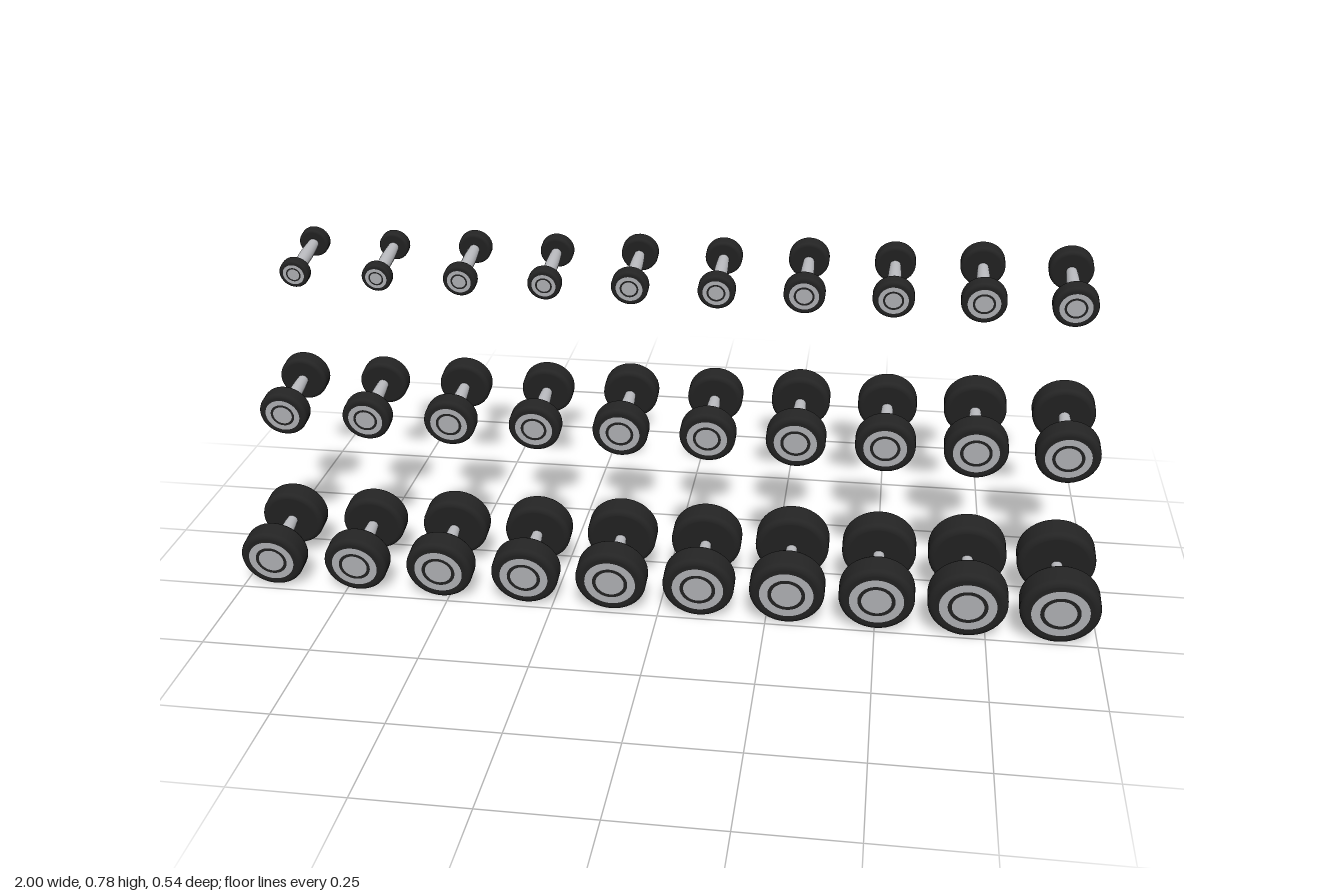
import * as THREE from 'three';

const steel = new THREE.MeshStandardMaterial({ color: 0xb8b9bd });
steel.name = 'brushed steel';
const rubber = new THREE.MeshStandardMaterial({ color: 0x242424 });
rubber.name = 'black rubber';

const TILT = THREE.MathUtils.degToRad(10);

function addMesh(parent, name, geometry, material) {
  const mesh = new THREE.Mesh(geometry, material);
  mesh.name = name;
  parent.add(mesh);
  return mesh;
}

// Rounded disc lying along z
function headGeometry(r, w) {
  const c = r * 0.15, h = w / 2;
  const points = [new THREE.Vector2(0, -h), new THREE.Vector2(r - c - 0.001, -h)];
  for (const [cy, start] of [[-h + c, -Math.PI / 2], [h - c, 0]]) {
    for (let i = 0; i <= 4; i++) {
      const a = start + (i / 4) * (Math.PI / 2);
      points.push(new THREE.Vector2(r - c + c * Math.cos(a), cy + c * Math.sin(a)));
    }
  }
  points.push(new THREE.Vector2(r - c - 0.001, h), new THREE.Vector2(0, h));
  return new THREE.LatheGeometry(points, 40).rotateX(Math.PI / 2);
}

// Handle that swells towards the middle
function gripGeometry(length) {
  const points = [];
  for (let i = 0; i <= 10; i++) {
    const t = i / 5 - 1;
    points.push(new THREE.Vector2(0.0125 + 0.0035 * Math.cos(t * Math.PI / 2), t * length / 2));
  }
  return new THREE.LatheGeometry(points, 24).rotateX(Math.PI / 2);
}

function createDumbbell(r, gripLength) {
  const dumbbell = new THREE.Group();
  const w = r * 0.74;
  addMesh(dumbbell, 'grip', gripGeometry(gripLength + 0.01), steel);

  // Two heads, each with a steel disc and ring on its outer face
  for (const [name, turn] of [['front', 0], ['back', Math.PI]]) {
    const end = new THREE.Group();
    end.name = name + 'End';
    end.rotation.y = turn;
    const head = addMesh(end, 'head', headGeometry(r, w), rubber);
    head.position.z = (gripLength + w) / 2;
    const face = gripLength / 2 + w + 0.001;
    addMesh(end, 'centreDisc', new THREE.CircleGeometry(r * 0.4, 32), steel).position.z = face;
    addMesh(end, 'outerRing', new THREE.RingGeometry(r * 0.5, r * 0.72, 40), steel).position.z = face;
    dumbbell.add(end);
  }
  return dumbbell;
}

export function createModel() {
  const model = new THREE.Group();
  model.name = 'dumbbellSet';

  // Three tilted rows, heaviest at the bottom
  const rows = [
    { name: 'bottomRow', y: 0.108, z: 0.143, rMin: 0.075, rMax: 0.09, grip: 0.102 },
    { name: 'middleRow', y: 0.412, z: -0.012, rMin: 0.0575, rMax: 0.0725, grip: 0.113 },
    { name: 'topRow', y: 0.71, z: -0.163, rMin: 0.036, rMax: 0.052, grip: 0.129 },
  ];
  for (const row of rows) {
    const group = new THREE.Group();
    group.name = row.name;
    // Five pairs of growing size, all resting on the same sloped plane
    for (let i = 0; i < 10; i++) {
      const r = THREE.MathUtils.lerp(row.rMin, row.rMax, Math.floor(i / 2) / 4);
      const drop = row.rMax - r;
      const dumbbell = createDumbbell(r, row.grip);
      dumbbell.name = 'dumbbell' + (i + 1);
      dumbbell.rotation.x = TILT;
      dumbbell.position.set(
        -0.925 + i * 0.2038,
        row.y - drop * Math.cos(TILT),
        row.z - drop * Math.sin(TILT)
      );
      group.add(dumbbell);
    }
    model.add(group);
  }
  return model;
}
